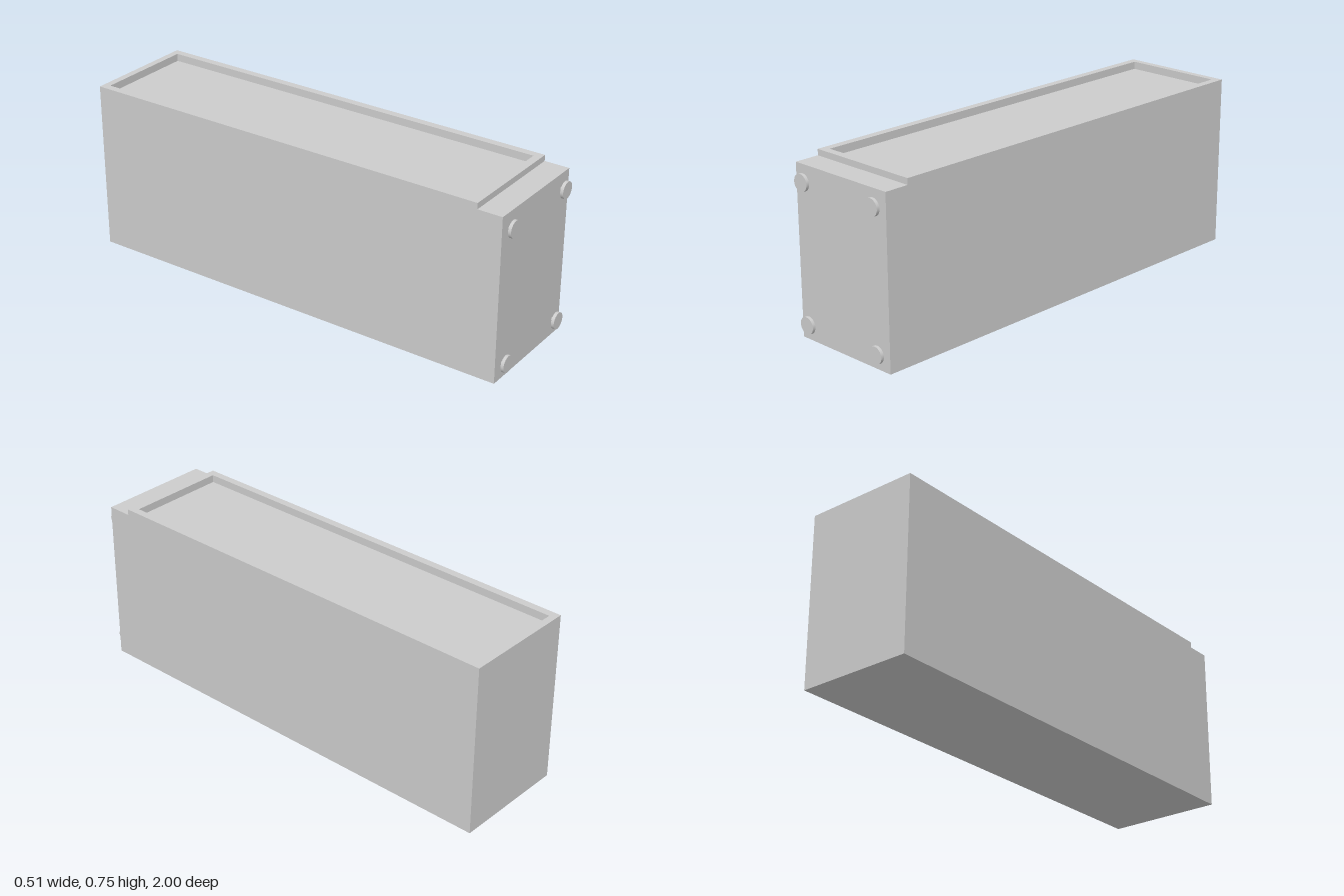
import * as THREE from 'three';

const material = new THREE.MeshStandardMaterial({ color: 0xcccccc });

function addMesh(parent, name, geometry, x = 0, y = 0, z = 0) {
  const mesh = new THREE.Mesh(geometry, material);
  mesh.name = name;
  mesh.position.set(x, y, z);
  parent.add(mesh);
  return mesh;
}

// Rectangle in plan; the shape's y becomes -z once laid flat
function planRect(Type, halfWidth, back, front) {
  return new Type([
    new THREE.Vector2(-halfWidth, -front),
    new THREE.Vector2(halfWidth, -front),
    new THREE.Vector2(halfWidth, -back),
    new THREE.Vector2(-halfWidth, -back),
  ]);
}

export function createModel() {
  const group = new THREE.Group();
  group.name = 'case';

  const halfWidth = 0.253, back = -1, front = 0.973;
  const rimFront = 0.865;
  const floorY = 0.714, ledgeY = 0.721, topY = 0.747;

  // Main block, its top forming the floor of the recess
  const length = front - back;
  addMesh(group, 'body', new THREE.BoxGeometry(2 * halfWidth, floorY, length),
    0, floorY / 2, (front + back) / 2);

  // Raised frame around the recessed top
  const frame = planRect(THREE.Shape, halfWidth, back, rimFront);
  frame.holes.push(planRect(THREE.Path, 0.22, -0.97, 0.832));
  const rim = new THREE.ExtrudeGeometry(frame, { depth: topY - floorY, bevelEnabled: false });
  rim.rotateX(-Math.PI / 2);
  addMesh(group, 'topRim', rim, 0, floorY, 0);

  // Lower step at the front edge
  addMesh(group, 'frontLedge',
    new THREE.BoxGeometry(2 * halfWidth, ledgeY - floorY, front - rimFront),
    0, (ledgeY + floorY) / 2, (front + rimFront) / 2);

  // Four disc feet on short stems, near the corners of the front face
  const discBack = 0.987;
  const disc = new THREE.CylinderGeometry(0.036, 0.036, 1 - discBack, 48).rotateX(Math.PI / 2);
  const stem = new THREE.CylinderGeometry(0.008, 0.008, discBack - front, 24).rotateX(Math.PI / 2);
  for (const [side, x] of [['left', 0.198], ['right', -0.198]]) {
    for (const [level, y] of [['Upper', 0.655], ['Lower', 0.07]]) {
      const foot = new THREE.Group();
      foot.name = `${side}${level}Foot`;
      foot.position.set(x, y, 0);
      addMesh(foot, 'footDisc', disc, 0, 0, (1 + discBack) / 2);
      addMesh(foot, 'footStem', stem, 0, 0, (front + discBack) / 2);
      group.add(foot);
    }
  }
  return group;
}
